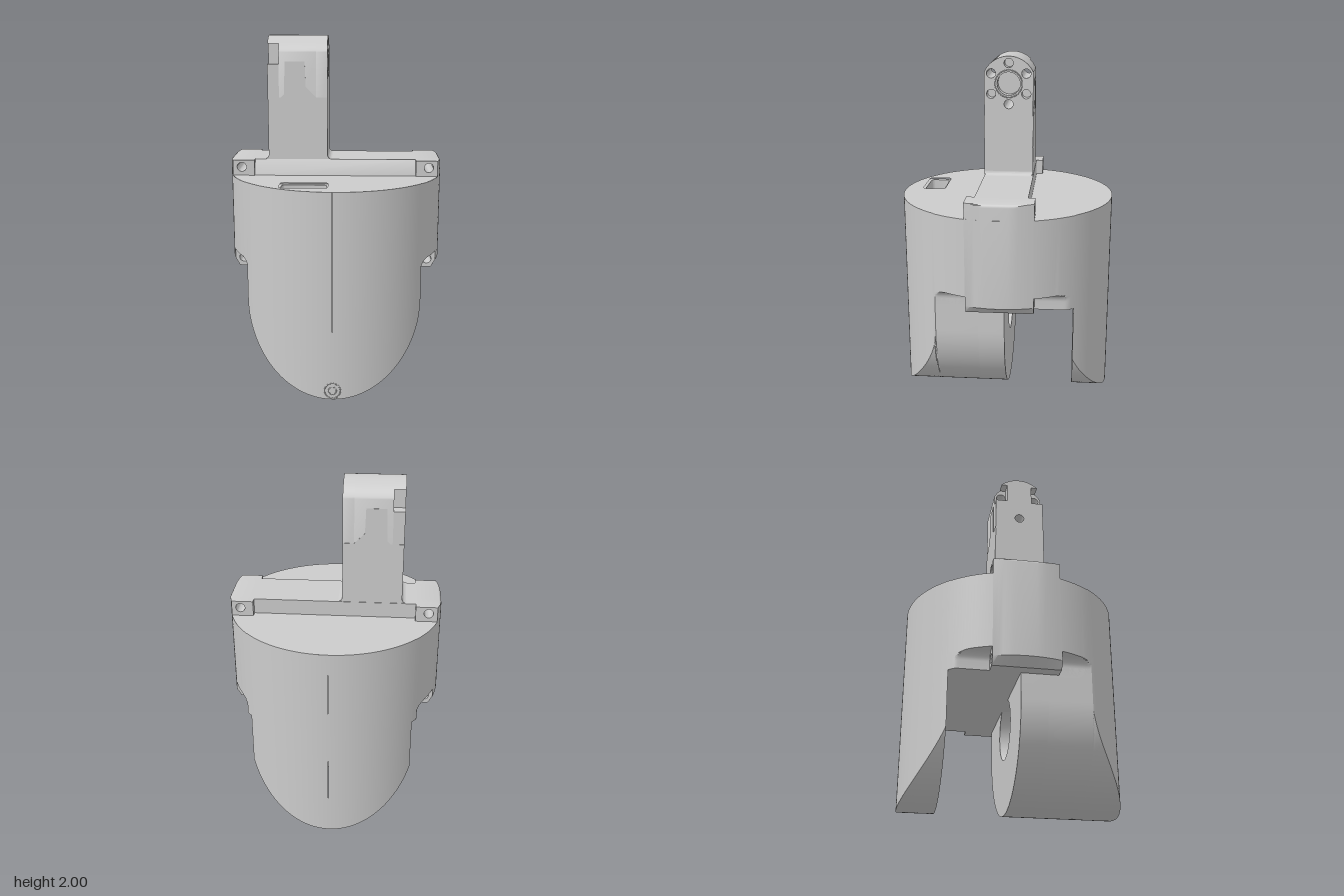
import * as THREE from 'three';
import { toCreasedNormals } from 'three/addons/utils/BufferGeometryUtils.js';

const R = 0.625;   // body radius
const TOP = 1.2;   // deck height
const DRUM = 0.5;  // lower drum radius
const grey = new THREE.MeshStandardMaterial({ color: 0xcccccc });
const greyTwo = new THREE.MeshStandardMaterial({ color: 0xcccccc, side: THREE.DoubleSide });

function add(group, name, geo, mat = grey) {
  const mesh = new THREE.Mesh(geo, mat);
  mesh.name = name;
  group.add(mesh);
  return mesh;
}

const poly = (pts) => new THREE.Shape(pts.map((p) => new THREE.Vector2(p[0], p[1])));
const mirrored = (pts) => pts.concat(pts.map(([x, y]) => [-x, y]).reverse());
const arc = (cx, cy, r, a0, a1, n) => Array.from({ length: n + 1 }, (_, i) => {
  const a = a0 + (a1 - a0) * i / n;
  return [cx + r * Math.cos(a), cy + r * Math.sin(a)];
});
const hole = (x, y, r) => new THREE.Path().absarc(x, y, r, 0, Math.PI * 2, true);

// Extrude a shape along z, optionally trimming it to the round body
function extrude(shape, z0, z1, trim = false) {
  const geo = new THREE.ExtrudeGeometry(shape, {
    depth: z1 - z0, steps: trim ? 14 : 1, bevelEnabled: false, curveSegments: 16,
  }).translate(0, 0, z0);
  if (trim) {
    const p = geo.attributes.position;
    for (let i = 0; i < p.count; i++) {
      const w = Math.sqrt(R * R - p.getZ(i) ** 2);
      p.setX(i, THREE.MathUtils.clamp(p.getX(i), -w, w));
    }
  }
  return toCreasedNormals(geo, 0.5);
}

// Section of the round body where the drum's underside meets its wall
function sectionAt(t) {
  const w = R * Math.cos(t);
  const aMax = Math.asin(Math.min(1, w / DRUM));
  const bottom = arc(0, DRUM, DRUM, -Math.PI / 2 - aMax, -Math.PI / 2 + aMax, 40);
  return [[-w, TOP], ...bottom, [w, TOP]];
}

// Loft the sections from depth z0 out to the body's edge; dir is the side
function endShell(z0, dir) {
  const N = 48, pos = [], index = [];
  const t0 = Math.asin(z0 / R), t1 = Math.PI / 2 - 0.001;
  let m = 0;
  for (let i = 0; i <= N; i++) {
    const t = t0 + (t1 - t0) * i / N;
    const ring = sectionAt(t);
    m = ring.length;
    ring.forEach(([x, y]) => pos.push(x, y, dir * R * Math.sin(t)));
  }
  for (let i = 0; i < N; i++) for (let j = 0; j < m - 1; j++) {
    const a = i * m + j, b = a + 1, c = a + m, d = c + 1;
    if (dir > 0) index.push(a, b, c, b, d, c);
    else index.push(a, c, b, b, c, d);
  }
  const geo = new THREE.BufferGeometry();
  geo.setAttribute('position', new THREE.Float32BufferAttribute(pos, 3));
  geo.setIndex(index);
  return toCreasedNormals(geo, 0.5);
}

function roundRect(x0, x1, y0, y1, r) {
  return poly([
    ...arc(x1 - r, y1 - r, r, 0, Math.PI / 2, 6), ...arc(x0 + r, y1 - r, r, Math.PI / 2, Math.PI, 6),
    ...arc(x0 + r, y0 + r, r, Math.PI, Math.PI * 1.5, 6), ...arc(x1 - r, y0 + r, r, Math.PI * 1.5, Math.PI * 2, 6),
  ]);
}

function buildBody() {
  const g = new THREE.Group();
  g.name = 'body';

  // Middle slice with raised ridge ends, lower tabs and screw holes
  const core = poly(mirrored([[0.57, 0.65], [0.63, 0.695], ...arc(0.6, 1.27, 0.02, 0, Math.PI / 2, 5), [0.47, 1.29], [0.47, TOP]]));
  for (const x of [-0.545, 0.545]) for (const y of [0.7, 1.25]) core.holes.push(hole(x, y, 0.027));
  add(g, 'middleSlice', extrude(core, -0.19, 0.19, true));

  // Slices beside it, scooped out to reach the lower screws
  const scooped = poly(mirrored([[0.5, 0.65], ...arc(0.55, 0.7, 0.05, Math.PI, Math.PI / 2, 8), [0.64, 0.75], [0.64, TOP - 0.002]]));
  add(g, 'frontScoopedSlice', extrude(scooped, 0.19, 0.375, true));
  add(g, 'backScoopedSlice', extrude(scooped, -0.41, -0.19, true));

  // Ridge between the raised ends, sloped at the front
  const ridge = poly([[-0.185, 1.19], [-0.185, TOP], [-0.145, 1.29], [0.15, 1.29], [0.15, 1.19]]);
  add(g, 'ridge', extrude(ridge, -0.47, 0.47).rotateY(Math.PI / 2));

  // Drum with a round hub recess facing the gap
  const drumPts = [[0.5, 0.7], [-0.5, 0.7], ...arc(0, DRUM, DRUM, -Math.PI, 0, 64)];
  const rim = poly(drumPts);
  rim.holes.push(hole(0, 0.5, 0.18));
  add(g, 'drumRim', extrude(rim, -0.02, 0.13));
  add(g, 'drum', extrude(poly(drumPts), 0.13, 0.375));

  // Rounded front and back ends
  add(g, 'frontShell', endShell(0.375, 1));
  add(g, 'backFork', endShell(0.41, -1));

  // Inner face of the back fork with two countersunk screws
  const face = poly(sectionAt(Math.asin(0.41 / R)));
  for (const x of [-0.337, 0.337]) {
    face.holes.push(hole(x, 0.315, 0.05));
    const cup = [[0, -0.04], [0.022, -0.04], [0.022, -0.03], [0.05, -0.03], [0.05, 0]].map((p) => new THREE.Vector2(...p));
    add(g, 'forkScrewCup', toCreasedNormals(new THREE.LatheGeometry(cup, 24).rotateX(Math.PI / 2), 0.5), greyTwo)
      .position.set(x, 0.315, -0.41);
  }
  add(g, 'forkInnerFace', new THREE.ShapeGeometry(face, 16).translate(0, 0, -0.41));

  // Deck with a rectangular pocket
  const deck = new THREE.Shape().absarc(0, 0, R, 0, Math.PI * 2);
  const pocket = roundRect(-0.3, -0.03, -0.525, -0.39, 0.025);
  deck.holes.push(new THREE.Path(pocket.getPoints()));
  add(g, 'deck', new THREE.ShapeGeometry(deck, 96).rotateX(-Math.PI / 2).translate(0, TOP, 0));
  const walls = roundRect(-0.32, -0.01, -0.535, -0.37, 0.025);
  walls.holes.push(new THREE.Path(roundRect(-0.29, -0.04, -0.515, -0.4, 0.02).getPoints()));
  add(g, 'pocketWalls', extrude(walls, 1.07, 1.19).rotateX(-Math.PI / 2));
  add(g, 'pocketFloor', new THREE.BoxGeometry(0.28, 0.02, 0.14)).position.set(-0.165, 1.07, 0.455);

  // Screw at the bottom of the front
  for (const r of [0.045, 0.022]) {
    add(g, 'frontScrewRing', new THREE.TorusGeometry(r, 0.004, 8, 32)).position.set(0, 0.052, 0.622);
  }
  return g;
}

function buildPost() {
  const g = new THREE.Group();
  g.name = 'post';
  const cy = 1.84, r = 0.16, half = 0.145;
  const a = Math.acos(half / r);
  const outline = [[-half, TOP], [half, TOP], ...arc(0, cy, r, a, Math.PI - a, 32)];
  const along = (shape, x0, x1) => extrude(shape, x0, x1).rotateY(Math.PI / 2);

  // Bolt circle: every other hole runs right through
  const bolt = (k) => {
    const t = Math.PI / 6 + k * Math.PI / 3;
    return hole(0.12 * Math.cos(t), cy + 0.12 * Math.sin(t), 0.027);
  };
  const outer = poly(outline), mid = poly(outline);
  for (let k = 0; k < 6; k++) outer.holes.push(bolt(k));
  outer.holes.push(hole(0, cy, 0.068));
  for (const k of [0, 2, 4]) mid.holes.push(bolt(k));
  add(g, 'boltFace', along(outer, -0.11, -0.045));
  add(g, 'postCore', along(mid, -0.325, -0.11));
  add(g, 'bearingRing', new THREE.TorusGeometry(0.08, 0.003, 8, 40).rotateY(Math.PI / 2)).position.set(-0.045, cy, 0);

  // Far end, notched on both sides under the rounded top
  const b = Math.asin(0.115 / r);
  const notched = poly([[-half, TOP], [half, TOP], [half, cy], [0.075, cy], [0.075, 1.955],
    ...arc(0, cy, r, b, Math.PI - b, 24), [-0.075, 1.955], [-0.075, cy], [-half, cy]]);
  notched.holes.push(bolt(4));
  add(g, 'notchedEnd', along(notched, -0.39, -0.325));

  // Thin interlocking cover plates, front and back
  const plate = poly([[-0.388, 1.29], [-0.047, 1.29], [-0.047, 1.65], [-0.11, 1.65], [-0.17, 1.71], [-0.175, 1.855],
    [-0.29, 1.855], [-0.295, 1.67], [-0.315, 1.65], [-0.388, 1.65]]);
  for (const z of [-half, half]) add(g, 'coverPlate', extrude(plate, z - 0.002, z + 0.002));

  // Small fillets where the post meets the ridge
  for (const [x, s] of [[-0.39, -1], [-0.045, 1]]) {
    const fillet = poly([[x, 1.285], [x + s * 0.025, 1.29],
      ...arc(x + s * 0.025, 1.315, 0.025, -Math.PI / 2, s > 0 ? -Math.PI : 0, 6)]);
    add(g, 'baseFillet', extrude(fillet, -0.143, 0.143));
  }
  return g;
}

export function createModel() {
  const model = new THREE.Group();
  model.name = 'jointHousing';
  model.add(buildBody(), buildPost());
  return model;
}
